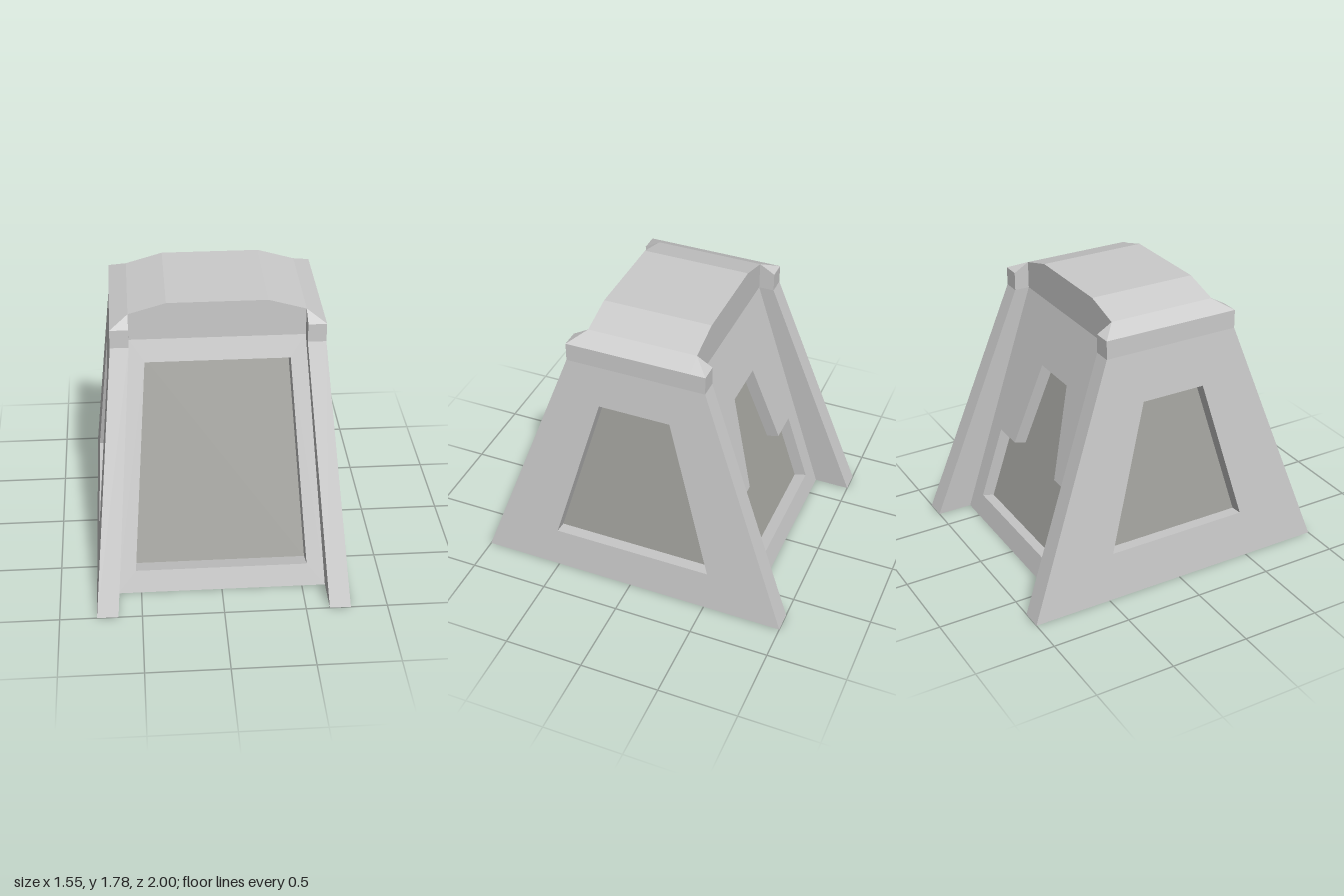
import * as THREE from 'three';

const grey = new THREE.MeshStandardMaterial({ color: 0xcccccc, flatShading: true });
const glass = new THREE.MeshStandardMaterial({ color: 0xa5a5a0, flatShading: true });

// Key levels and half sizes
const EAVE = 1.55, RIM = 1.665, SHOULDER = 1.72, TOP = 1.785;
const OUT0 = 0.775, OUT1 = 0.635;    // outer half width, ground and eave
const IN0 = 0.645, IN1 = 0.525;      // half width between the flanges
const END0 = 1.0, END1 = 0.435;      // flange half depth
const WALL0 = 0.775, WALL1 = 0.34;   // front and back wall half depth

function mesh(name, geometry, material = grey) {
  const m = new THREE.Mesh(geometry, material);
  m.name = name;
  return m;
}

// Flat faces from polygons, counter-clockwise as seen from outside
function faces(polys, sx = 1, sz = 1) {
  const pos = [];
  for (const poly of polys) {
    const p = poly.map(([x, y, z]) => [x * sx, y, z * sz]);
    if (sx * sz < 0) p.reverse();
    for (let i = 1; i < p.length - 1; i++) pos.push(...p[0], ...p[i], ...p[i + 1]);
  }
  const g = new THREE.BufferGeometry();
  g.setAttribute('position', new THREE.Float32BufferAttribute(pos, 3));
  g.computeVertexNormals();
  return g;
}

// Right half of an outline (bottom to top), mirrored to a closed loop
const mirrored = (half) => [...half, ...half.map(([u, y]) => [-u, y]).reverse()];

// Leaning wall facing +z with a recessed window, turned into place about y
function windowWall(name, [w0, w1], [z0, z1], window, depth, turn) {
  const group = new THREE.Group();
  group.name = name;
  const k = (z0 - z1) / EAVE, len = Math.hypot(1, k);
  const place = (u, y, d) => [u, y - (d * k) / len, z0 - k * y - d / len];
  const toShape = (pts) => new THREE.Shape(pts.map(([u, y]) => new THREE.Vector2(u, y)));
  const lean = (shape, d) => {
    const g = new THREE.ShapeGeometry(shape);
    const p = g.attributes.position;
    for (let i = 0; i < p.count; i++) p.setXYZ(i, ...place(p.getX(i), p.getY(i), d));
    g.computeVertexNormals();
    return g;
  };
  const hole = mirrored(window);
  const wall = toShape(mirrored([[w0, 0], [w1, EAVE]]));
  wall.holes.push(toShape(hole));
  const reveal = hole.map((a, i) => {
    const b = hole[(i + 1) % hole.length];
    return [place(...a, 0), place(...b, 0), place(...b, depth), place(...a, depth)];
  });
  // the loop runs counter-clockwise, so the reveals face into the opening
  group.add(
    mesh(name + 'Surface', lean(wall, 0)),
    mesh(name + 'Reveal', faces(reveal)),
    mesh(name + 'Pane', lean(toShape(hole), depth), glass)
  );
  group.rotation.y = turn;
  return group;
}

export function createModel() {
  const model = new THREE.Group();
  model.name = 'taperedCabin';

  // Four leaning walls with their recesses
  const ends = [[IN0, IN1], [WALL0, WALL1]];
  const sides = [[END0, END1], [OUT0, OUT1]];
  model.add(
    windowWall('frontWall', ...ends, [[0.53, 0.14], [0.435, 1.415]], 0.125, 0),
    windowWall('backWall', ...ends,
      [[0.51, 0.14], [0.47, 0.62], [0.27, 0.62], [0.16, 1.18]], 0.08, Math.PI),
    windowWall('leftWall', ...sides, [[0.51, 0.265], [0.225, 1.285]], 0.08, Math.PI / 2),
    windowWall('rightWall', ...sides, [[0.46, 0.31], [0.205, 1.235]], 0.08, -Math.PI / 2)
  );

  // Corner flanges: end face, inner face, capped top and foot
  const flange = [
    [[IN0, 0, END0], [OUT0, 0, END0], [OUT1, EAVE, END1], [IN1, EAVE, END1]],
    [[IN1, EAVE, END1], [OUT1, EAVE, END1], [OUT1, RIM, END1], [IN1, RIM, END1]],
    [[IN0, 0, WALL0], [IN0, 0, END0], [IN1, EAVE, END1], [IN1, EAVE, WALL1]],
    [[IN1, EAVE, WALL1], [IN1, EAVE, END1], [IN1, RIM, END1], [IN1, SHOULDER, WALL1]],
    [[IN1, RIM, END1], [OUT1, RIM, END1], [IN1, SHOULDER, WALL1]],
    [[OUT1, RIM, END1], [OUT1, RIM, WALL1], [IN1, SHOULDER, WALL1]],
    [[IN0, 0, WALL0], [OUT0, 0, WALL0], [OUT0, 0, END0], [IN0, 0, END0]],
  ];
  for (const sx of [1, -1])
    for (const sz of [1, -1]) model.add(mesh('cornerFlange', faces(flange, sx, sz)));

  // Upright bands between the leaning walls and the roof
  const gable = mirrored([[IN1, EAVE], [IN1, SHOULDER], [0.3, TOP]]).map(([x, y]) => [x, y, WALL1]);
  const band = [[OUT1, EAVE, END1], [OUT1, EAVE, -END1], [OUT1, RIM, -END1], [OUT1, RIM, END1]];
  for (const s of [1, -1]) {
    model.add(mesh('gable', faces([gable], 1, s)));
    model.add(mesh('sideBand', faces([band], s, 1)));
  }

  // Faceted roof
  const profile = [[-OUT1, RIM], [-IN1, SHOULDER], [-0.3, TOP], [0.3, TOP], [IN1, SHOULDER], [OUT1, RIM]];
  const strips = profile.slice(1).map((b, i) => {
    const a = profile[i];
    return [[...a, WALL1], [...b, WALL1], [...b, -WALL1], [...a, -WALL1]];
  });
  model.add(mesh('roof', faces(strips)));

  // Underside
  model.add(mesh('base', faces([
    [[-OUT0, 0, -WALL0], [OUT0, 0, -WALL0], [OUT0, 0, WALL0], [-OUT0, 0, WALL0]],
  ])));
  return model;
}
